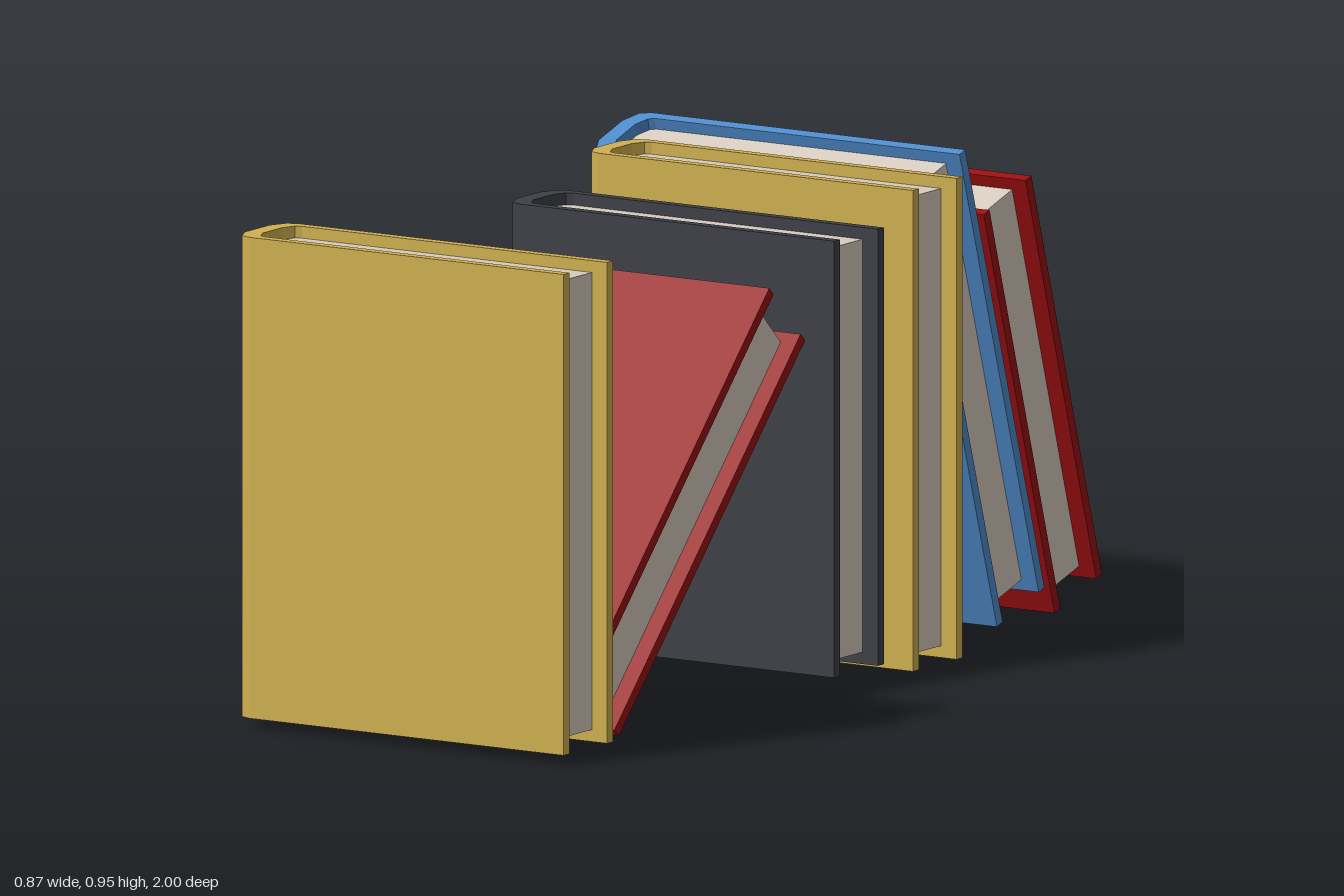
import * as THREE from 'three';

const PAGE_COLOR = 0xd8ccbf;
const HALF_DEPTH = 0.377;  // spine to fore edge
const HALF_THICK = 0.0865;
const BOARD = 0.021;       // cover thickness
const PAGE_INSET = 0.023;  // cover overhang above and below the pages

// Rounded back of a book, seen from its top: outer spine and page back
const spineOuter = [[-0.338, HALF_THICK], [-0.361, 0.078], [-HALF_DEPTH, 0.043]];
const spineInner = [[-0.318, HALF_THICK - BOARD], [-0.33, 0.06], [-0.342, 0.034]];

const mirror = (pts) => pts.map(([x, z]) => [x, -z]).reverse();

// Extrudes a plan outline (x, z) upward, centred on y = 0
function extrudePlan(points, height) {
  const shape = new THREE.Shape(points.map(([x, z]) => new THREE.Vector2(x, z)));
  const geo = new THREE.ExtrudeGeometry(shape, { depth: height, bevelEnabled: false });
  geo.translate(0, 0, -height / 2);
  geo.rotateX(-Math.PI / 2);
  return geo;
}

function createBook({ name, color, height, x, y, z, tilt = 0 }) {
  const book = new THREE.Group();
  book.name = name;

  // Cover: one U-shaped wrap of two boards and the spine
  const innerZ = HALF_THICK - BOARD;
  const outer = [[HALF_DEPTH, HALF_THICK], ...spineOuter];
  const inner = [[HALF_DEPTH, innerZ], ...spineInner];
  const wrap = [
    ...outer, ...mirror(outer),
    ...inner.map(([px, pz]) => [px, -pz]), ...mirror(inner).map(([px, pz]) => [px, -pz]),
  ];
  const cover = new THREE.Mesh(
    extrudePlan(wrap, height),
    new THREE.MeshStandardMaterial({ color, flatShading: true }),
  );
  cover.name = 'cover';

  // Page block, set back from the edges of the cover
  const block = [[HALF_DEPTH - 0.035, innerZ], ...spineInner];
  const pages = new THREE.Mesh(
    extrudePlan([...block, ...mirror(block)], height - 2 * PAGE_INSET),
    new THREE.MeshStandardMaterial({ color: PAGE_COLOR, flatShading: true }),
  );
  pages.name = 'pages';

  book.add(cover, pages);
  book.position.set(x, y, z);
  book.rotation.x = tilt;
  return book;
}

export function createModel() {
  const model = new THREE.Group();
  model.name = 'bookRow';
  const yellow = 0xcfb050, red = 0x9a0f10, blue = 0x4f8ccc, grey = 0x3e4046;

  // Row from front to back; tilted books lean on their neighbours
  const books = [
    { name: 'frontYellowBook', color: yellow, height: 0.932, x: 0.0225, y: 0.488, z: 0.9135 },
    { name: 'leaningRedBook', color: red, height: 0.93, x: -0.06, y: 0.396, z: 0.42, tilt: -0.77 },
    { name: 'greyBook', color: grey, height: 0.846, x: 0.008, y: 0.446, z: -0.05 },
    { name: 'middleYellowBook', color: yellow, height: 0.932, x: 0.0575, y: 0.476, z: -0.248 },
    { name: 'blueBook', color: blue, height: 0.932, x: -0.06, y: 0.483, z: -0.578, tilt: 0.3 },
    { name: 'backRedBook', color: red, height: 0.846, x: -0.06, y: 0.438, z: -0.793, tilt: 0.295 },
  ];
  for (const b of books) model.add(createBook(b));
  return model;
}
